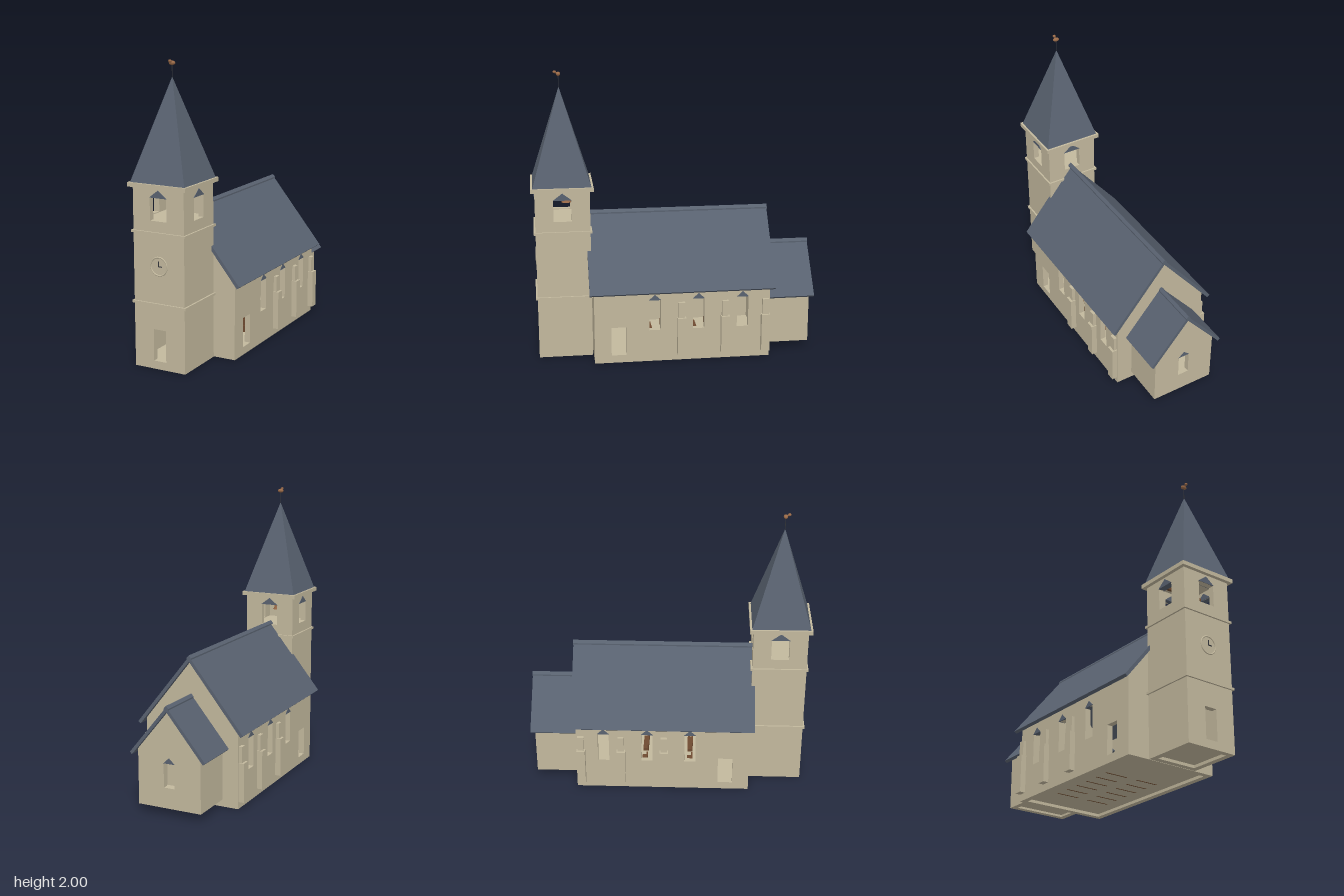
import * as THREE from 'three';

const mat = (name, color, side = THREE.FrontSide) => {
  const m = new THREE.MeshStandardMaterial({ color, side });
  m.name = name;
  return m;
};

export function createModel() {
  const stone = mat('stone', 0xc2b89d);
  const slate = mat('slate', 0x596270);
  const wood = mat('wood', 0x6e4a30);
  const bronze = mat('bronze', 0x9a6a48, THREE.DoubleSide);
  const iron = mat('iron', 0x34363c);
  const T = 0.04; // wall thickness

  const root = new THREE.Group();
  root.name = 'church';
  const group = (name, z = 0) => {
    const g = new THREE.Group();
    g.name = name;
    g.position.z = z;
    root.add(g);
    return g;
  };
  const add = (parent, name, geo, m, x = 0, y = 0, z = 0) => {
    const mesh = new THREE.Mesh(geo, m);
    mesh.name = name;
    mesh.position.set(x, y, z);
    parent.add(mesh);
    return mesh;
  };
  const box = (parent, name, m, w, h, d, x, y, z) =>
    add(parent, name, new THREE.BoxGeometry(w, h, d), m, x, y, z);
  const vectors = (pts) => pts.map(([x, y]) => new THREE.Vector2(x, y));
  const shapeOf = (pts) => new THREE.Shape(vectors(pts));
  const extrude = (shape, depth) => new THREE.ExtrudeGeometry(shape, { depth, bevelEnabled: false });

  // Wall panel with rectangular openings; an opening with a head gets a slate gable
  // opening: [centre, bottom, top, half width, head height, head projection]
  const wall = (parent, name, outline, openings = []) => {
    const g = new THREE.Group();
    g.name = name;
    const shape = shapeOf(outline);
    for (const [c, b, t, w, head, proud = 0.003] of openings) {
      shape.holes.push(new THREE.Path(vectors([[c - w, b], [c - w, t], [c + w, t], [c + w, b]])));
      if (head) {
        const tri = shapeOf([[c - w - 0.003, t], [c + w + 0.003, t], [c, t + head]]);
        add(g, 'windowHead', extrude(tri, T + 2 * proud), slate, 0, 0, -proud);
      }
    }
    add(g, 'wallPanel', extrude(shape, T), stone);
    parent.add(g);
    return g;
  };
  const rect = (a, b, y0, y1) => [[a, y0], [b, y0], [b, y1], [a, y1]];
  // Two matching side walls; panel coordinate u equals -z
  const sideWalls = (parent, half, outline, openings) => {
    for (const x of [half - T, -half]) {
      const w = wall(parent, 'sideWall', outline, openings);
      w.rotation.y = Math.PI / 2;
      w.position.x = x;
    }
  };
  const gable = (half, y0, eave, apex) => [[-half, y0], [half, y0], [half, eave], [0, apex], [-half, eave]];
  // Chevron roof slab from outer and inner eave corners, with a folded ridge cap
  const roof = (parent, ridge, inner, [ox, oy], [ix, iy], z0, z1) => {
    const s = shapeOf([[0, ridge], [-ox, oy], [-ix, iy], [0, inner], [ix, iy], [ox, oy]]);
    add(parent, 'roof', extrude(s, z1 - z0), slate, 0, 0, z0);
    const cap = shapeOf([[0, ridge + 0.008], [-0.017, ridge - 0.011], [-0.017, ridge - 0.024], [0.017, ridge - 0.024], [0.017, ridge - 0.011]]);
    add(parent, 'ridgeCap', extrude(cap, z1 - z0 + 0.006), slate, 0, 0, z0 - 0.003);
  };

  // Nave
  const nave = group('nave');
  const bays = [0.16, -0.145, -0.455];
  const naveOpenings = bays.map((z) => [-z, 0.23, 0.45, 0.04, 0.04]);
  naveOpenings.push([-0.412, 0.055, 0.26, 0.052, 0]);
  sideWalls(nave, 0.345, rect(-0.54, 0.608, 0, 0.54), naveOpenings);
  const naveGable = gable(0.345, 0, 0.542, 0.975);
  wall(nave, 'frontGable', naveGable).position.z = 0.54;
  wall(nave, 'rearGable', naveGable).position.z = -0.648;
  roof(nave, 1.008, 0.973, [0.394, 0.518], [0.376, 0.504], -0.678, 0.61);
  box(nave, 'naveFloor', stone, 0.61, 0.03, 1.148, 0, 0.035, -0.034);

  for (const s of [1, -1]) {
    // Stepped buttresses
    for (const z of [-0.025, -0.33, -0.615]) {
      box(nave, 'buttressLower', stone, 0.05, 0.27, 0.06, s * 0.36, 0.185, z);
      box(nave, 'buttressUpper', stone, 0.03, 0.11, 0.045, s * 0.353, 0.375, z);
    }
    // Pews, with backs set through the floor
    for (let i = 0; i < 6; i++) {
      const z = 0.15 - i * 0.11;
      box(nave, 'pewSeat', wood, 0.17, 0.022, 0.03, s * 0.125, 0.06, z);
      box(nave, 'pewBack', wood, 0.17, 0.079, 0.01, s * 0.125, 0.0585, z + 0.02);
    }
  }

  // Chancel
  const chancel = group('chancel');
  sideWalls(chancel, 0.23, rect(0.648, 0.915, 0.05, 0.43));
  wall(chancel, 'chancelGable', gable(0.23, 0.05, 0.43, 0.712), [[0, 0.19, 0.355, 0.04, 0.04, 0.0005]]).position.z = -0.955;
  roof(chancel, 0.744, 0.71, [0.277, 0.407], [0.261, 0.393], -0.982, -0.648);
  box(chancel, 'chancelFloor', stone, 0.38, 0.02, 0.267, 0, 0.075, -0.7815);

  // Tower
  const tower = group('tower', 0.773);
  const H = 0.188;
  const belfry = [0, 0.99, 1.14, 0.062, 0.05];
  wall(tower, 'frontWall', rect(-H, H, 0, 1.21), [belfry, [0, 0.055, 0.27, 0.046, 0]]).position.z = H - T;
  wall(tower, 'backWall', rect(-H, H, 0, 1.21), [belfry]).position.z = -H;
  sideWalls(tower, H, rect(-H + T, H - T, 0, 1.21), [belfry]);
  box(tower, 'towerFloor', stone, 0.296, 0.03, 0.296, 0, 0.035, 0);
  box(tower, 'belfryFloor', stone, 0.296, 0.02, 0.296, 0, 0.975, 0);
  for (const y of [0.44, 0.91]) {
    // String courses as four strips around the shaft
    for (const s of [1, -1]) {
      box(tower, 'stringCourse', stone, 0.4, 0.016, 0.014, 0, y, s * 0.193);
      box(tower, 'stringCourse', stone, 0.014, 0.016, 0.372, s * 0.193, y, 0);
    }
  }
  box(tower, 'cornice', stone, 0.428, 0.028, 0.428, 0, 1.215, 0);
  const spire = new THREE.ConeGeometry(0.2 * Math.SQRT2, 0.661, 4, 1).toNonIndexed();
  spire.rotateY(Math.PI / 4);
  spire.computeVertexNormals();
  add(tower, 'spire', spire, slate, 0, 1.5595, 0);

  // Flight of stairs inside the tower
  for (let i = 0; i < 13; i++) {
    box(tower, 'stair', stone, 0.019, 0.034, 0.08, -0.113 + i * 0.0185, 0.308 - i * 0.0175, -0.1);
  }

  // Bell and yoke
  const bellPts = [[0.036, 0], [0.026, 0.02], [0.021, 0.045], [0.018, 0.06], [0, 0.062]];
  add(tower, 'bell', new THREE.LatheGeometry(vectors(bellPts), 16), bronze, 0, 1.08, -0.033);
  box(tower, 'bellYoke', wood, 0.296, 0.02, 0.02, 0, 1.153, -0.033);

  // Clock: raised round rim and two hands
  add(tower, 'clockRim', new THREE.TorusGeometry(0.06, 0.005, 20, 40), stone, 0, 0.695, H);
  box(tower, 'minuteHand', iron, 0.005, 0.036, 0.005, 0, 0.711, H + 0.0035);
  box(tower, 'hourHand', iron, 0.025, 0.005, 0.005, 0.0125, 0.695, H + 0.0035);

  // Weathervane
  add(tower, 'vaneRod', new THREE.CylinderGeometry(0.0025, 0.0025, 0.11, 8), iron, 0, 1.92, 0);
  const ball = new THREE.SphereGeometry(1, 12, 8);
  add(tower, 'vaneBody', ball, bronze, 0, 1.976, 0).scale.set(0.023, 0.014, 0.015);
  add(tower, 'vaneHead', ball, bronze, 0, 1.99, 0.025).scale.set(0.011, 0.01, 0.012);
  const neck = add(tower, 'vaneNeck', new THREE.CylinderGeometry(0.004, 0.006, 0.025, 8), bronze, 0, 1.983, 0.014);
  neck.rotation.x = 1.05;

  return root;
}
